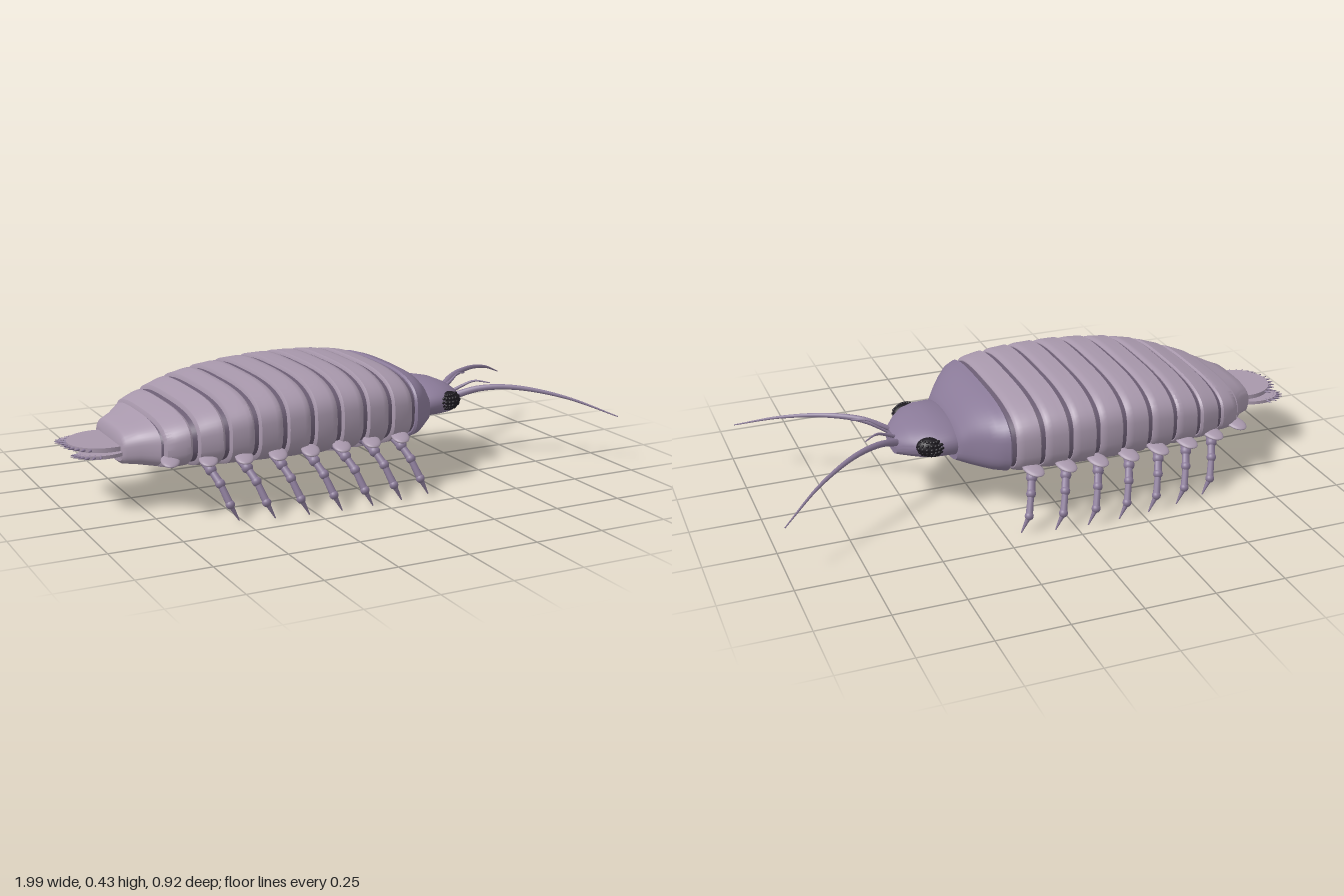
import * as THREE from 'three';
import { toCreasedNormals } from 'three/addons/utils/BufferGeometryUtils.js';

const V = (x, y, z) => new THREE.Vector3(x, y, z);
const mat = (color) => new THREE.MeshStandardMaterial({ color, roughness: 0.7 });
const shell = mat(0xa797ab), skin = mat(0x8a7a98), dark = mat(0x6a5c72), black = mat(0x1d1a20);

// Body outline along x: [x, top, bottom, half width]
const OUTLINE = [
  [-0.82, 0.27, 0.155, 0.15], [-0.77, 0.29, 0.15, 0.18], [-0.72, 0.31, 0.147, 0.24],
  [-0.7, 0.32, 0.146, 0.27], [-0.62, 0.35, 0.145, 0.3], [-0.53, 0.38, 0.14, 0.333],
  [-0.42, 0.405, 0.138, 0.347], [-0.3, 0.421, 0.135, 0.355], [-0.18, 0.429, 0.134, 0.36],
  [-0.05, 0.43, 0.134, 0.358], [0.05, 0.425, 0.135, 0.353], [0.13, 0.415, 0.137, 0.346],
  [0.19, 0.403, 0.142, 0.335], [0.23, 0.392, 0.146, 0.31], [0.27, 0.37, 0.15, 0.26],
  [0.3, 0.345, 0.155, 0.22], [0.335, 0.3, 0.165, 0.175],
];

function outline(x) {
  let i = 0;
  while (i < OUTLINE.length - 2 && OUTLINE[i + 1][0] < x) i++;
  const a = OUTLINE[i], b = OUTLINE[i + 1], t = (x - a[0]) / (b[0] - a[0]);
  return a.map((v, k) => v + (b[k] - v) * t);
}

// Section of the body at x, shrunk by an inset
function section(x, inset = 0) {
  const [, top, bottom, hw] = outline(x);
  return [x, top - inset, bottom + inset, hw - inset, 3];
}

// Closed loft through superellipse sections [x, top, bottom, half width, exponent]
function loft(sections, n = 56) {
  const pos = [], idx = [];
  for (const [x, top, bottom, hw, e] of sections) {
    for (let j = 0; j < n; j++) {
      const a = (j / n) * Math.PI * 2, c = Math.cos(a), s = Math.sin(a);
      const p = (v) => Math.sign(v) * Math.abs(v) ** (2 / e);
      pos.push(x, (top + bottom) / 2 + ((top - bottom) / 2) * p(s), hw * p(c));
    }
  }
  const last = sections.length - 1, back = pos.length / 3;
  for (const s of [sections[0], sections[last]]) pos.push(s[0], (s[1] + s[2]) / 2, 0);
  for (let j = 0; j < n; j++) {
    const k = (j + 1) % n;
    for (let i = 0; i < last; i++) {
      const a = i * n + j, b = a + n, c = (i + 1) * n + k, d = i * n + k;
      idx.push(a, b, c, a, c, d);
    }
    idx.push(back, j, k, back + 1, last * n + k, last * n + j);
  }
  const g = new THREE.BufferGeometry();
  g.setAttribute('position', new THREE.Float32BufferAttribute(pos, 3));
  g.setIndex(idx);
  return toCreasedNormals(g, 0.7);
}

function add(parent, name, geometry, material, p) {
  const m = new THREE.Mesh(geometry, material);
  m.name = name;
  if (p) m.position.copy(p);
  parent.add(m);
  return m;
}

// Tapered limb piece from a to b
function limb(parent, name, a, b, r0, r1, material = skin) {
  const d = b.clone().sub(a);
  const m = add(parent, name, new THREE.CylinderGeometry(r1, r0, d.length(), 10), material,
    a.clone().add(b).multiplyScalar(0.5));
  m.quaternion.setFromUnitVectors(V(0, 1, 0), d.normalize());
}

function ball(parent, name, p, rx, ry, rz, material = skin) {
  const m = add(parent, name, new THREE.SphereGeometry(1, 18, 12), material, p);
  m.scale.set(rx, ry, rz);
  return m;
}

// Tube along a smooth curve, tapering from r0 to r1
function feeler(parent, name, points, r0, r1) {
  const curve = new THREE.CatmullRomCurve3(points), N = 32, R = 8;
  const g = new THREE.TubeGeometry(curve, N, 1, R);
  const p = g.attributes.position, v = V();
  for (let i = 0; i <= N; i++) {
    const c = curve.getPointAt(i / N), r = r0 + (r1 - r0) * (i / N);
    for (let j = 0; j <= R; j++) {
      const k = i * (R + 1) + j;
      v.fromBufferAttribute(p, k).sub(c).multiplyScalar(r).add(c);
      p.setXYZ(k, v.x, v.y, v.z);
    }
  }
  add(parent, name, g, skin);
}

// Flat oval plate with spines along its rear rim
function tailPlate(parent, name, p, rx, rz, thick, spines, from, to) {
  const m = add(parent, name, new THREE.CylinderGeometry(1, 1, 1, 36), shell, p);
  m.scale.set(rx, thick, rz);
  for (let i = 0; i < spines; i++) {
    const a = from + ((to - from) * i) / (spines - 1), c = -Math.cos(a), s = Math.sin(a);
    limb(parent, name + 'Spine', V(p.x + c * (rx - 0.01), p.y, p.z + s * (rz - 0.01)),
      V(p.x + c * (rx + 0.024), p.y, p.z + s * (rz + 0.018)), 0.007, 0.001);
  }
}

const TIP_Z = [0.39, 0.42, 0.438, 0.448, 0.448, 0.438, 0.415];

// Everything that is paired, for side s = +1 or -1
function side(s) {
  const g = new THREE.Group();
  g.name = s > 0 ? 'leftSide' : 'rightSide';

  // Leaf-like plates and jointed legs
  for (let k = 0; k < 8; k++) {
    const x = -0.7 + 0.117 * k, hw = outline(x)[3];
    const leaf = ball(g, 'basalPlate', V(x, 0.198, s * (hw - 0.005)), 0.032, 0.011, 0.048, shell);
    leaf.rotation.set(s * 0.2, s * -0.35, 0);
    if (k === 0) continue;
    const tz = TIP_Z[k - 1], joints = [
      V(x - 0.01, 0.195, s * (tz - 0.14)), V(x + 0.005, 0.165, s * (tz - 0.075)),
      V(x + 0.022, 0.125, s * (tz - 0.037)), V(x + 0.042, 0.06, s * (tz - 0.003)),
      V(x + 0.072, 0.002, s * tz)];
    const r = [0.014, 0.015, 0.013, 0.012, 0.002];
    for (let i = 0; i < 4; i++) {
      limb(g, 'legSegment', joints[i], joints[i + 1], r[i] * 0.85, i < 3 ? r[i + 1] * 1.1 : r[4]);
      const q = r[i] * 1.3;
      ball(g, 'legJoint', joints[i], q, q, q);
    }
  }

  // Eye with rows of small facets
  const eye = ball(g, 'eye', V(0.428, 0.25, s * 0.15), 0.046, 0.033, 0.034, black);
  eye.rotation.y = s * 0.25;
  for (let i = 0; i < 5; i++) {
    for (let j = 0; j < 7; j++) {
      const u = (j - 3) * 0.36, w = (i - 2) * 0.42;
      ball(g, 'eyeFacet', V(0.428 + 0.044 * Math.sin(u) * Math.cos(w), 0.25 + 0.032 * Math.sin(w),
        s * (0.15 + 0.034 * Math.cos(u) * Math.cos(w) - 0.011 * Math.sin(u))),
        0.007, 0.006, 0.005, black);
    }
  }

  // Long and short feelers
  feeler(g, 'antenna', [V(0.5, 0.232, s * 0.045), V(0.59, 0.267, s * 0.105), V(0.7, 0.273, s * 0.175),
    V(0.85, 0.243, s * 0.285), V(0.998, 0.182, s * 0.41)], 0.014, 0.002);
  feeler(g, 'antennule', [V(0.5, 0.242, s * 0.028), V(0.55, 0.268, s * 0.042),
    V(0.59, 0.286, s * 0.062), V(0.64, 0.28, s * 0.092)], 0.008, 0.002);

  // Side blades of the tail fan
  tailPlate(g, 'uropod', V(-0.875, 0.203, s * 0.095), 0.085, 0.055, 0.012, 7,
    s > 0 ? -0.3 : -1.3, s > 0 ? 1.3 : 0.3);
  return g;
}

export function createModel() {
  const model = new THREE.Group();
  model.name = 'isopod';

  // Inner body seen in the grooves between plates
  const core = [];
  for (let x = -0.8; x <= 0.23; x += 0.05) core.push(section(x, 0.012));
  add(model, 'innerBody', loft(core), dark);

  // Overlapping back plates, raised at the rear edge
  for (let i = 0; i < 9; i++) {
    const x0 = -0.712 + i * 0.1, x1 = x0 + 0.084;
    add(model, 'bodyPlate', loft([section(x0, 0.008), section(x0 + 0.006, -0.001), section(x0 + 0.03, 0),
      section(x0 + 0.06, 0), section(x1 - 0.008, 0.002), section(x1, 0.009)]), shell);
  }

  // Front shield and rear body end
  const shield = [section(0.188, 0.008)];
  for (const x of [0.194, 0.21, 0.23, 0.25, 0.27, 0.285, 0.3, 0.318, 0.335]) shield.push(section(x));
  add(model, 'frontShield', loft(shield), skin);
  add(model, 'rearSegment', loft([section(-0.82, 0.008), section(-0.81), section(-0.77), section(-0.72)]), shell);

  // Head tapering to a blunt snout
  add(model, 'head', loft([
    [0.31, 0.3, 0.175, 0.17, 2.3], [0.34, 0.313, 0.178, 0.18, 2.2], [0.4, 0.311, 0.18, 0.178, 2.2],
    [0.445, 0.302, 0.182, 0.162, 2.2], [0.48, 0.287, 0.184, 0.128, 2.2],
    [0.505, 0.27, 0.185, 0.095, 2.3], [0.522, 0.255, 0.186, 0.07, 2.4]]), skin);

  // Tail fan
  tailPlate(model, 'telson', V(-0.845, 0.217, 0), 0.122, 0.12, 0.016, 11, -0.95, 0.95);

  model.add(side(1), side(-1));
  return model;
}
